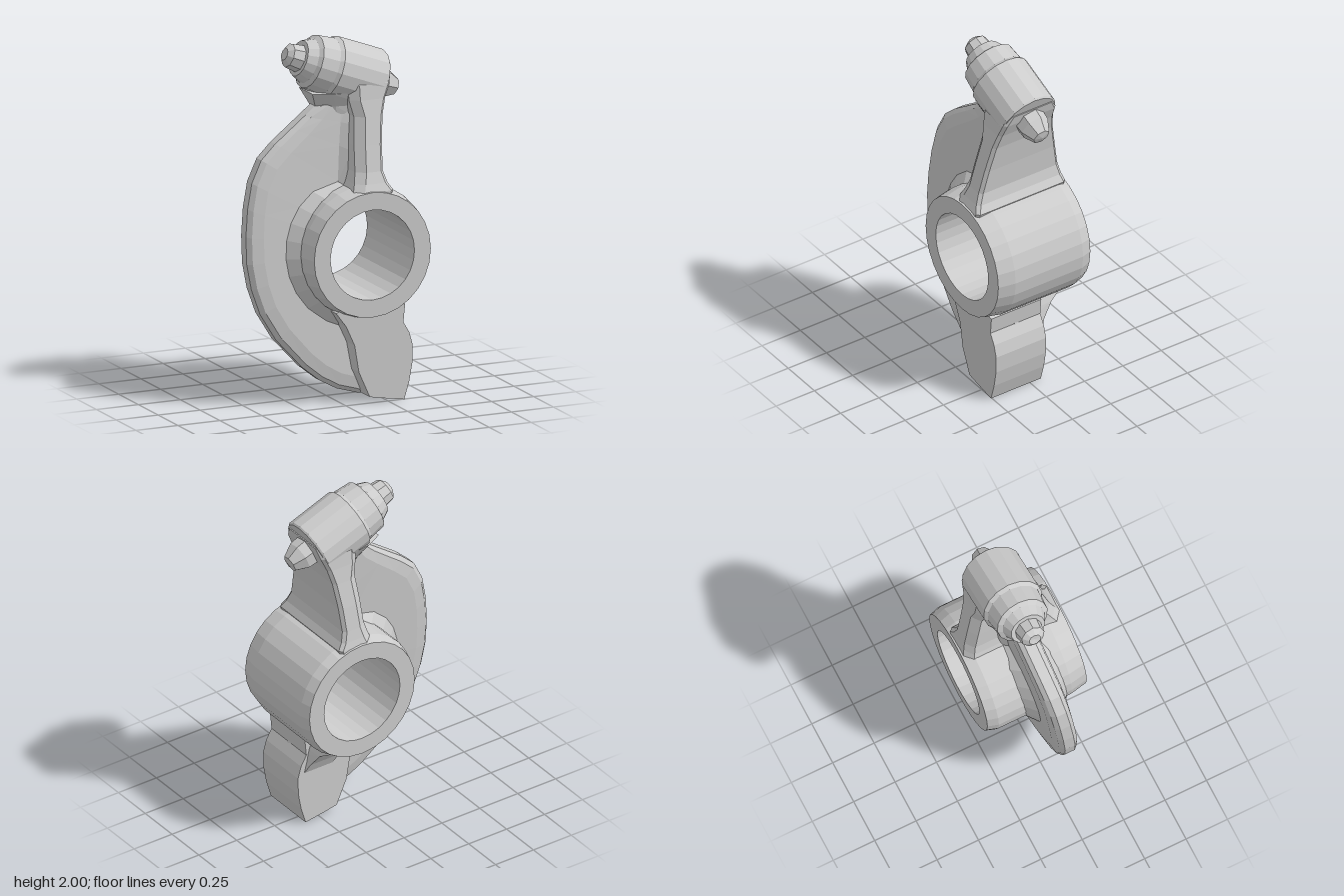
import * as THREE from 'three';

const material = new THREE.MeshStandardMaterial({ color: 0xcccccc, flatShading: true });
const V = (x, y, z) => new THREE.Vector3(x, y, z);
const HUB = { x: 0.135, y: 0.835 };

// Skin a row of closed cross-sections, cap both ends, and face it outwards
function loft(rings) {
  const n = rings[0].length;
  const tris = [];
  for (let i = 0; i < rings.length - 1; i++) {
    for (let j = 0; j < n; j++) {
      const k = (j + 1) % n;
      const a = rings[i][j], b = rings[i][k], c = rings[i + 1][k], d = rings[i + 1][j];
      tris.push([a, b, c], [a, c, d]);
    }
  }
  const first = rings[0], last = rings[rings.length - 1];
  for (let j = 1; j < n - 1; j++) {
    tris.push([first[0], first[j + 1], first[j]], [last[0], last[j], last[j + 1]]);
  }
  let volume = 0;
  for (const [a, b, c] of tris) volume += a.dot(V(0, 0, 0).crossVectors(b, c));
  const points = tris.flatMap(([a, b, c]) => (volume > 0 ? [a, b, c] : [a, c, b]));
  const geometry = new THREE.BufferGeometry().setFromPoints(points);
  geometry.computeVertexNormals();
  return geometry;
}

function lathe(profile, segments) {
  return new THREE.LatheGeometry(profile.map(([r, y]) => new THREE.Vector2(r, y)), segments);
}

export function createModel() {
  const model = new THREE.Group();
  model.name = 'rockerArm';
  const add = (name, geometry, parent = model) => {
    const mesh = new THREE.Mesh(geometry, material);
    mesh.name = name;
    parent.add(mesh);
    return mesh;
  };

  // Pivot hub with its bore
  const hub = lathe([
    [0.25, -0.3], [0.347, -0.3], [0.366, -0.24], [0.366, 0.2],
    [0.347, 0.3], [0.25, 0.3], [0.25, -0.3],
  ], 28);
  hub.rotateX(Math.PI / 2);
  add('hub', hub).position.set(HUB.x, HUB.y, 0);

  // Crescent web: outer point, inner point, fillet size
  const onHub = (deg) => {
    const a = THREE.MathUtils.degToRad(deg);
    return [HUB.x + 0.3 * Math.cos(a), HUB.y + 0.3 * Math.sin(a)];
  };
  const webSections = [
    [[-0.08, 1.62], [0.19, 1.68], 0.2],
    [[-0.14, 1.575], [0.18, 1.5], 0.6],
    [[-0.22, 1.515], [0.16, 1.35], 0.8],
    [[-0.32, 1.44], onHub(90), 1],
    [[-0.405, 1.36], onHub(120), 1],
    [[-0.465, 1.24], onHub(140), 1],
    [[-0.495, 1.1], onHub(155), 1],
    [[-0.51, 0.95], onHub(168), 1],
    [[-0.51, 0.8], onHub(182), 1],
    [[-0.487, 0.66], onHub(196), 1],
    [[-0.44, 0.52], onHub(210), 1],
    [[-0.35, 0.37], onHub(225), 1],
    [[-0.2, 0.205], onHub(243), 1],
    [[-0.1, 0.125], onHub(252), 1],
    [[0.0, 0.07], onHub(260), 1],
    [[0.12, 0.035], onHub(270), 1],
    [[0.32, 0.01], [0.27, 0.53], 1],
  ];
  add('web', loft(webSections.map(([outer, inner, f]) => {
    const length = Math.hypot(outer[0] - inner[0], outer[1] - inner[1]);
    // distance from the inner point, offset from the leaning mid-plane
    const half = [
      [0, 0.07 + 0.12 * f], [0.07, 0.07 + 0.05 * f], [0.13, 0.07],
      [length - 0.09, 0.068], [length - 0.025, 0.055], [length, 0.03],
    ];
    const section = [...half, ...half.map(([d, z]) => [d, -z]).reverse()];
    return section.map(([d, z]) => {
      const t = d / length;
      const y = inner[1] + (outer[1] - inner[1]) * t;
      return V(inner[0] + (outer[0] - inner[0]) * t, y, 0.105 - 0.07 * y + z);
    });
  })));

  // Tapering upright arm: y, x range, z range
  const armSections = [
    [1.12, 0.04, 0.25, -0.295, 0.295],
    [1.18, 0.045, 0.27, -0.29, 0.29],
    [1.22, 0.06, 0.245, -0.28, 0.27],
    [1.28, 0.075, 0.23, -0.268, 0.245],
    [1.42, 0.085, 0.24, -0.245, 0.212],
    [1.57, 0.1, 0.26, -0.217, 0.178],
    [1.66, 0.08, 0.285, -0.203, 0.158],
    [1.74, 0.08, 0.32, -0.195, 0.147],
    [1.8, 0.1, 0.335, -0.165, 0.115],
  ];
  add('arm', loft(armSections.map(([y, x0, x1, z0, z1]) => {
    const c = 0.018;
    return [
      [x0, z0 + 0.04], [x0 + 0.05, z0], [x1 - c, z0], [x1, z0 + c],
      [x1, z1 - c], [x1 - c, z1], [x0 + 0.05, z1], [x0, z1 - 0.04],
    ].map(([x, z]) => V(x, y, z));
  })));

  // Tilted head with adjuster screw and pin on one axis
  const head = new THREE.Group();
  head.name = 'head';
  head.position.set(0.1, 1.79, -0.025);
  head.rotation.z = -1.934;
  model.add(head);
  add('headBarrel', lathe([
    [0, -0.27], [0.1, -0.27], [0.125, -0.215], [0.15, -0.2],
    [0.16, -0.1], [0.175, -0.08], [0.175, 0.2], [0.168, 0.21], [0, 0.21],
  ], 16), head);
  add('adjusterScrew', lathe([
    [0, -0.355], [0.035, -0.36], [0.068, -0.335], [0.08, -0.25], [0, -0.25],
  ], 9), head);
  add('pin', lathe([
    [0, 0.18], [0.09, 0.18], [0.085, 0.27], [0.05, 0.34], [0, 0.35],
  ], 7), head);

  // Neck joining the underside of the head to the web
  const neckSections = [
    [1.54, -0.06, 0.16, -0.06, 0.055],
    [1.62, -0.075, 0.18, -0.11, 0.07],
    [1.7, -0.11, 0.2, -0.16, 0.11],
  ];
  add('neck', loft(neckSections.map(([y, x0, x1, z0, z1]) => [
    V(x0, y, z0 + 0.05), V(x0 + 0.1, y, z0), V(x1, y, z0 - 0.02),
    V(x1, y, z1 + 0.02), V(x0 + 0.1, y, z1), V(x0, y, z1 - 0.05),
  ])));

  // Foot pad below the hub
  const footOutline = [
    [0.345, 0], [0.375, 0.1], [0.393, 0.2], [0.395, 0.3], [0.375, 0.37], [0.34, 0.43],
    [0.35, 0.53], [0.27, 0.545], [0.0, 0.545], [-0.06, 0.52], [0.0, 0.44],
    [0.05, 0.33], [0.075, 0.18], [0.14, 0.035], [0.22, 0.02],
  ].map(([x, y]) => new THREE.Vector2(x, y));
  const foot = new THREE.ExtrudeGeometry(new THREE.Shape(footOutline), { depth: 0.325, bevelEnabled: false });
  foot.translate(0, 0, -0.07);
  add('foot', foot);

  // Gusset blending the back of the foot into the hub
  const gussetSections = [
    [0.3, 0.12, 0.38, -0.06], [0.38, 0.1, 0.355, -0.1],
    [0.46, 0.05, 0.335, -0.16], [0.53, 0.02, 0.3, -0.28],
  ];
  add('gusset', loft(gussetSections.map(([y, x0, x1, z]) => [
    V(x0, y, 0.1), V(x1, y, 0.1), V(x1 - 0.02, y, z), V(x0 + 0.05, y, z),
  ])));

  return model;
}
